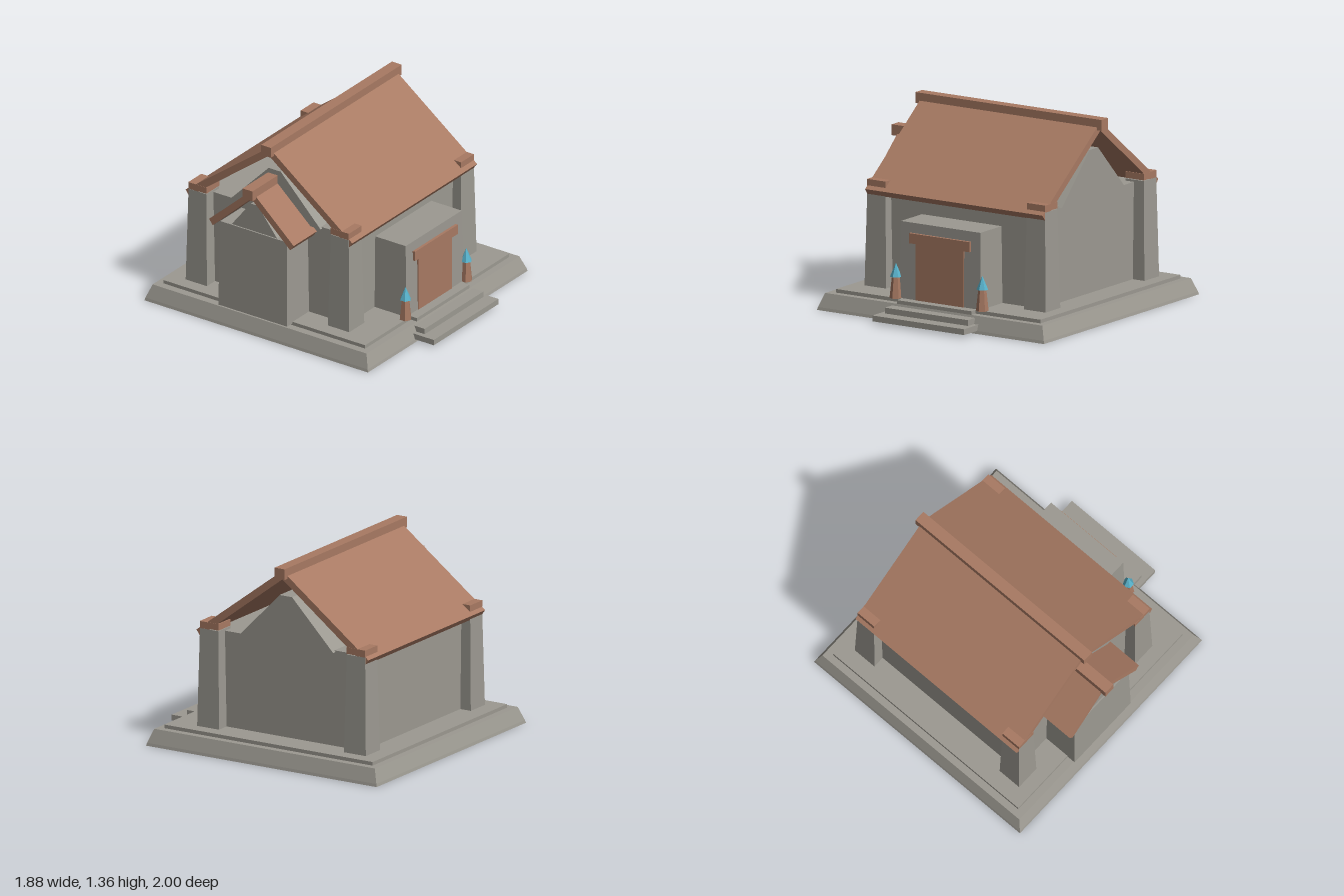
import * as THREE from 'three';

export function createModel() {
  const model = new THREE.Group();
  model.name = 'house';
  const mat = (name, color) => {
    const m = new THREE.MeshStandardMaterial({ color });
    m.name = name;
    return m;
  };
  const stone = mat('grey stone', 0x9c9991);
  const wood = mat('brown timber', 0xa87a63);
  const flameBlue = mat('blue flame', 0x58b2cb);

  const add = (name, geo, material, x = 0, y = 0, z = 0) => {
    const mesh = new THREE.Mesh(geo, material);
    mesh.name = name;
    mesh.position.set(x, y, z);
    model.add(mesh);
    return mesh;
  };

  // Block given by its limits, with its top edges drawn in by tx and tz
  const block = (name, material, [x0, x1], [y0, y1], [z0, z1], tx = 0, tz = tx) => {
    const geo = new THREE.BoxGeometry(x1 - x0, y1 - y0, z1 - z0);
    const p = geo.attributes.position;
    for (let i = 0; i < p.count; i++) {
      if (p.getY(i) > 0) {
        p.setX(i, p.getX(i) - Math.sign(p.getX(i)) * tx);
        p.setZ(i, p.getZ(i) - Math.sign(p.getZ(i)) * tz);
      }
    }
    geo.computeVertexNormals();
    return add(name, geo, material, (x0 + x1) / 2, (y0 + y1) / 2, (z0 + z1) / 2);
  };

  // Prism with a [z, y] outline, running along x
  const prism = (name, material, outline, x0, x1) => {
    const shape = new THREE.Shape(outline.map(([z, y]) => new THREE.Vector2(-z, y)));
    const geo = new THREE.ExtrudeGeometry(shape, { depth: x1 - x0, bevelEnabled: false });
    geo.rotateY(Math.PI / 2);
    return add(name, geo, material, x0);
  };

  // Sloping roof slabs on both sides of a ridge at z = zc
  const roof = (name, zc, x0, x1, ridge, run, eave, drop) => {
    for (const s of [1, -1]) {
      prism(name, wood, [
        [zc, ridge],
        [zc + s * run, eave],
        [zc + s * (run - 0.03), eave - 0.04],
        [zc, ridge - drop],
      ], x0, x1);
    }
  };

  // Stepped base
  block('baseFoot', stone, [-0.915, 0.94], [0, 0.02], [-1, 0.85], 0.005);
  block('baseSlope', stone, [-0.91, 0.935], [0.02, 0.115], [-0.995, 0.845], 0.035);
  block('basePlatform', stone, [-0.82, 0.85], [0.11, 0.14], [-0.91, 0.76]);

  // Front steps
  block('upperStep', stone, [-0.29, 0.32], [0.1, 0.14], [0.6, 0.81]);
  block('middleStep', stone, [-0.325, 0.355], [0.06, 0.1], [0.7, 0.9]);
  block('lowerStep', stone, [-0.36, 0.39], [0.02, 0.06], [0.83, 1]);

  // Main walls and gable
  block('mainWalls', stone, [-0.63, 0.66], [0.13, 0.81], [-0.71, 0.48]);
  prism('mainGable', stone, [[0.27, 0.8], [-0.06, 1.14], [-0.16, 1.14], [-0.49, 0.8]], -0.65, 0.69);

  // Tapered corner pillars with a timber block over each
  for (const x of [-0.637, 0.667]) {
    for (const z of [0.472, -0.706]) {
      block('cornerPillar', stone, [x - 0.088, x + 0.088], [0.13, 0.825], [z - 0.088, z + 0.088], 0.014);
      block('eaveBlock', wood, [x - 0.075, x + 0.075], [0.83, 0.875], [z - 0.075, z + 0.075]);
    }
  }

  // Main roof and ridge beam
  roof('mainRoof', -0.115, -0.71, 0.74, 1.33, 0.69, 0.81, 0.06);
  block('ridgeBeam', wood, [-0.745, 0.775], [1.28, 1.355], [-0.155, -0.075]);

  // Side wing on the model's right
  block('wingWalls', stone, [-0.885, -0.5], [0.13, 0.76], [-0.41, 0.16], 0.01);
  prism('wingGable', stone, [[0.07, 0.75], [-0.095, 0.96], [-0.155, 0.96], [-0.32, 0.75]], -0.865, -0.5);
  roof('wingRoof', -0.125, -0.9, -0.62, 1.08, 0.35, 0.765, 0.06);
  block('wingRidgeBeam', wood, [-0.945, -0.62], [1.03, 1.105], [-0.165, -0.085]);

  // Porch and door
  block('porch', stone, [-0.318, 0.348], [0.13, 0.67], [0.4, 0.74], 0.008);
  block('door', wood, [-0.18, 0.21], [0.14, 0.53], [0.7, 0.745]);
  block('doorLintel', wood, [-0.23, 0.265], [0.53, 0.6], [0.7, 0.753]);

  // Torches beside the door
  const flat = (geo) => {
    const g = geo.toNonIndexed();
    g.computeVertexNormals();
    return g;
  };
  for (const x of [-0.338, 0.368]) {
    add('torchPost', flat(new THREE.CylinderGeometry(0.027, 0.043, 0.15, 6)), wood, x, 0.215, 0.75);
    add('torchFlame', flat(new THREE.ConeGeometry(0.04, 0.095, 6)), flameBlue, x, 0.333, 0.75);
  }

  return model;
}
